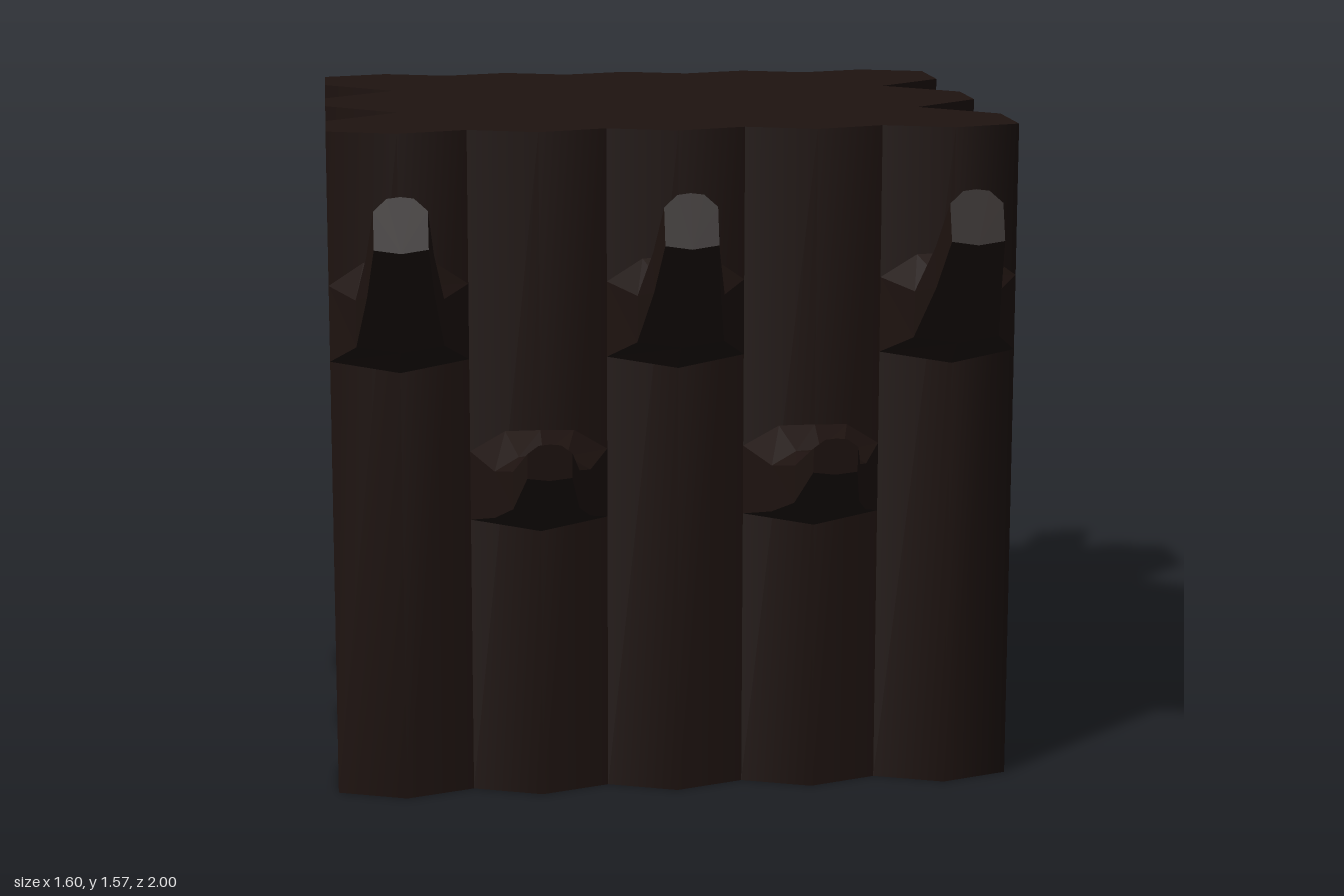
import * as THREE from 'three';

const HEIGHT = 1.57;
const material = new THREE.MeshStandardMaterial({ color: 0x1e1310 });

function meshOf(geometry, name) {
  const mesh = new THREE.Mesh(geometry, material);
  mesh.name = name;
  return mesh;
}

function indexed(points, index) {
  const geometry = new THREE.BufferGeometry();
  geometry.setAttribute('position', new THREE.Float32BufferAttribute(points.flat(), 3));
  geometry.setIndex(index);
  return geometry;
}

// Faceted skin through equal rings, closed at the far end
function loft(rings) {
  const n = rings[0].length;
  const index = [];
  for (let k = 0; k < rings.length - 1; k++) {
    for (let j = 0; j < n; j++) {
      const a = k * n + j, b = k * n + (j + 1) % n;
      index.push(a, b, b + n, a, b + n, a + n);
    }
  }
  const last = (rings.length - 1) * n;
  for (let j = 1; j < n - 1; j++) index.push(last, last + j, last + j + 1);
  const geometry = indexed(rings.flat(), index).toNonIndexed();
  geometry.computeVertexNormals();
  return geometry;
}

// Wall of one ridged column, smooth across its own ridge
function columnWall(outline) {
  const points = [], index = [];
  outline.forEach(([x, z], i) => {
    points.push([x, 0, z], [x, HEIGHT, z]);
    const a = 2 * i;
    if (i < outline.length - 1) index.push(a, a + 2, a + 3, a, a + 3, a + 1);
  });
  const geometry = indexed(points, index);
  geometry.computeVertexNormals();
  return geometry;
}

// Horn sections: half width, bottom [z, y], top [z, y], how far the sides sit back
const UPPER_HORN = [
  [0.16, [0.68, 1.02], [0.68, 1.28], 0.06],
  [0.1, [0.75, 1.08], [0.76, 1.24], 0.02],
  [0.075, [0.87, 1.22], [0.84, 1.35], 0],
  [0.06, [0.967, 1.34], [0.925, 1.46], 0],
];
const LOWER_HORN = [
  [0.16, [0.68, 0.64], [0.68, 0.88], 0.06],
  [0.11, [0.77, 0.68], [0.77, 0.84], 0.02],
  [0.075, [0.87, 0.73], [0.88, 0.86], 0],
  [0.05, [0.99, 0.83], [1.0, 0.915], 0],
];
const HORN_RING = [[0, 0], [1, 0.07], [1, 0.75], [0.5, 0.97], [0, 1], [-0.5, 0.97], [-1, 0.75], [-1, 0.07]];

function hornGeometry(sections) {
  return loft(sections.map(([w, b, t, back]) => HORN_RING.map(([u, v]) => [
    u * w,
    b[1] + (t[1] - b[1]) * v,
    b[0] + (t[0] - b[0]) * v - back * Math.abs(u),
  ])));
}

// Ledge filling a side notch: across, outer [z, bottom, top], inner [z, bottom, top]
function ledgeGeometry() {
  const half = [
    [0, [0.74, 0.72, 0.83], [0.63, 0.7, 0.86]],
    [0.09, [0.77, 0.7, 0.845], [0.725, 0.64, 0.875]],
    [0.16, [0.8, 0.68, 0.85], [0.8, 0.68, 0.855]],
  ];
  const mirrored = half.slice(1).reverse().map(([u, o, i]) => [-u, o, i]);
  return loft([...mirrored, ...half].map(([u, o, i]) => [
    [u, o[1], o[0]], [u, i[1], i[0]], [u, i[2], i[0]], [u, o[2], o[0]],
  ]));
}

export function createModel() {
  const model = new THREE.Group();
  model.name = 'hornedBlock';

  // Half the outline, split at the valleys between columns
  const half = [-0.32, 0, 0.32].map((x) => [[x - 0.16, 0.62], [x, 0.68], [x + 0.16, 0.62]]);
  const corner = [[0.48, 0.62], [0.64, 0.68], [0.8, 0.62], [0.8, 0.41], [0.63, 0.25]];
  half.push(
    corner,
    [[0.63, 0.25], [0.8, 0.09], [0.8, -0.09], [0.63, -0.25]],
    corner.map(([x, z]) => [x, -z]).reverse(),
  );
  const strips = [...half, ...half.map((s) => s.map(([x, z]) => [-x, -z]))];

  const body = new THREE.Group();
  body.name = 'body';
  strips.forEach((s) => body.add(meshOf(columnWall(s), 'columnWall')));

  // Flat top and underside
  const outline = strips.flatMap((s) => s.slice(0, -1));
  const cap = new THREE.ShapeGeometry(new THREE.Shape(outline.map(([x, z]) => new THREE.Vector2(x, -z))));
  body.add(meshOf(cap.clone().rotateX(-Math.PI / 2).translate(0, HEIGHT, 0), 'top'));
  body.add(meshOf(cap.clone().rotateX(Math.PI / 2), 'underside'));
  model.add(body);

  // Two staggered rows of horns on the front and back
  const upper = hornGeometry(UPPER_HORN);
  const lower = hornGeometry(LOWER_HORN);
  for (const [name, turn] of [['frontHorns', 0], ['backHorns', Math.PI]]) {
    const side = new THREE.Group();
    side.name = name;
    side.rotation.y = turn;
    for (let i = -2; i <= 2; i++) {
      const horn = meshOf(i % 2 ? lower : upper, i % 2 ? 'lowerHorn' : 'upperHorn');
      horn.position.x = i * 0.32;
      side.add(horn);
    }
    model.add(side);
  }

  // Ledges in the notches of the left and right sides
  const ledge = ledgeGeometry();
  for (const sx of [-1, 1]) {
    for (const z of [-0.25, 0.25]) {
      const mesh = meshOf(ledge, 'notchLedge');
      mesh.rotation.y = sx * Math.PI / 2;
      mesh.position.z = z;
      model.add(mesh);
    }
  }
  return model;
}
